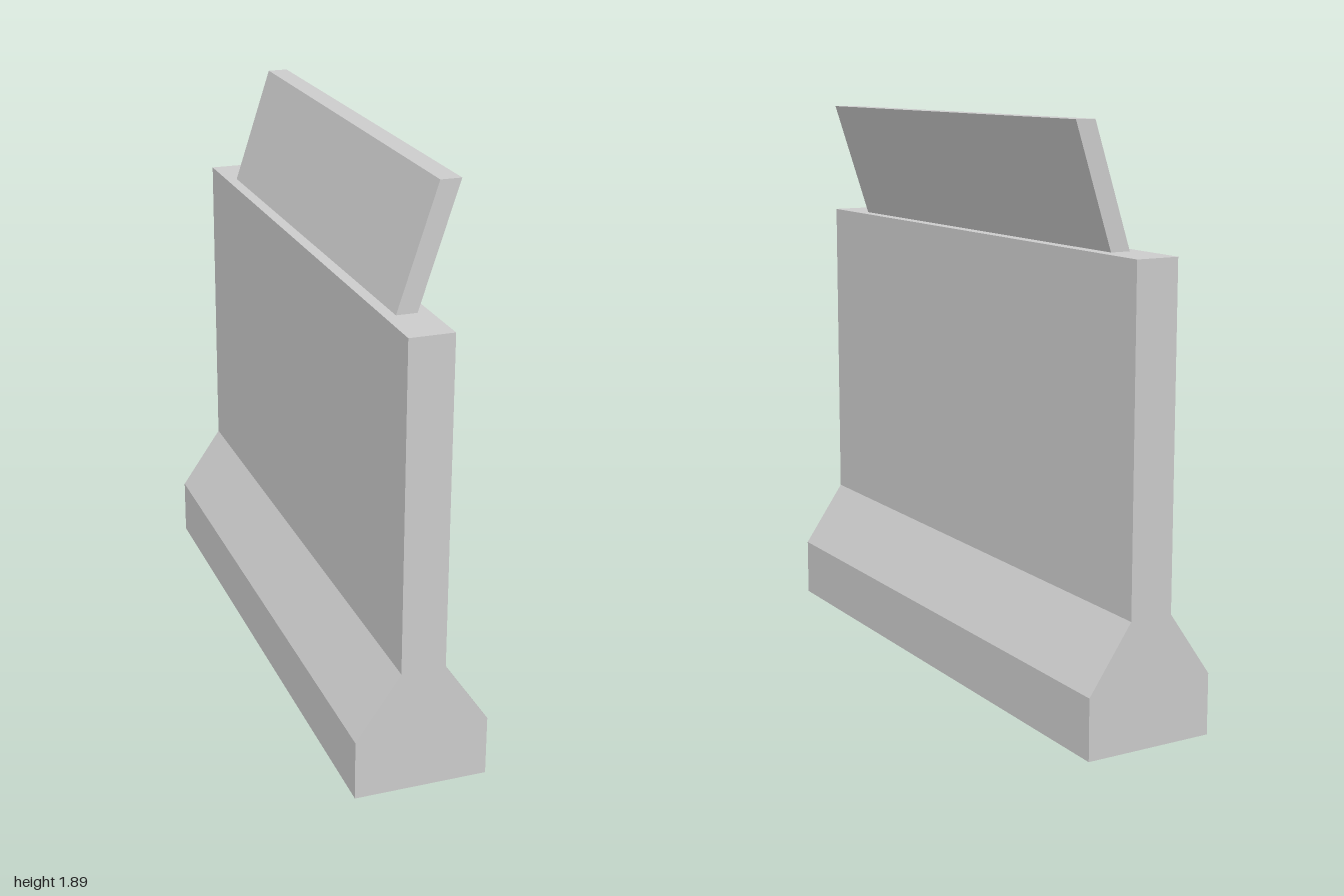
import * as THREE from 'three';

// Extrudes an x/y section along z, centred on z = 0
function extrudeSection(name, points, length) {
  const shape = new THREE.Shape(points.map(([x, y]) => new THREE.Vector2(x, y)));
  const geometry = new THREE.ExtrudeGeometry(shape, { depth: length, bevelEnabled: false });
  geometry.translate(0, 0, -length / 2);
  const mesh = new THREE.Mesh(geometry, new THREE.MeshStandardMaterial({ color: 0xcccccc, flatShading: true }));
  mesh.name = name;
  return mesh;
}

export function createModel() {
  const group = new THREE.Group();
  group.name = 'barrierWall';

  // Wall with flared foot: right half of the section, mirrored to the left
  const half = [[0.22, 0], [0.22, 0.2], [0.073, 0.413], [0.073, 1.5]];
  const mirrored = half.map(([x, y]) => [-x, y]).reverse();
  group.add(extrudeSection('wallAndFoot', [...half, ...mirrored], 2));

  // Leaning panel on top of the wall
  const panel = [[-0.035, 1.5], [0.033, 1.5], [0.162, 1.895], [0.094, 1.895]];
  group.add(extrudeSection('leaningTopPanel', panel, 1.616));

  return group;
}
